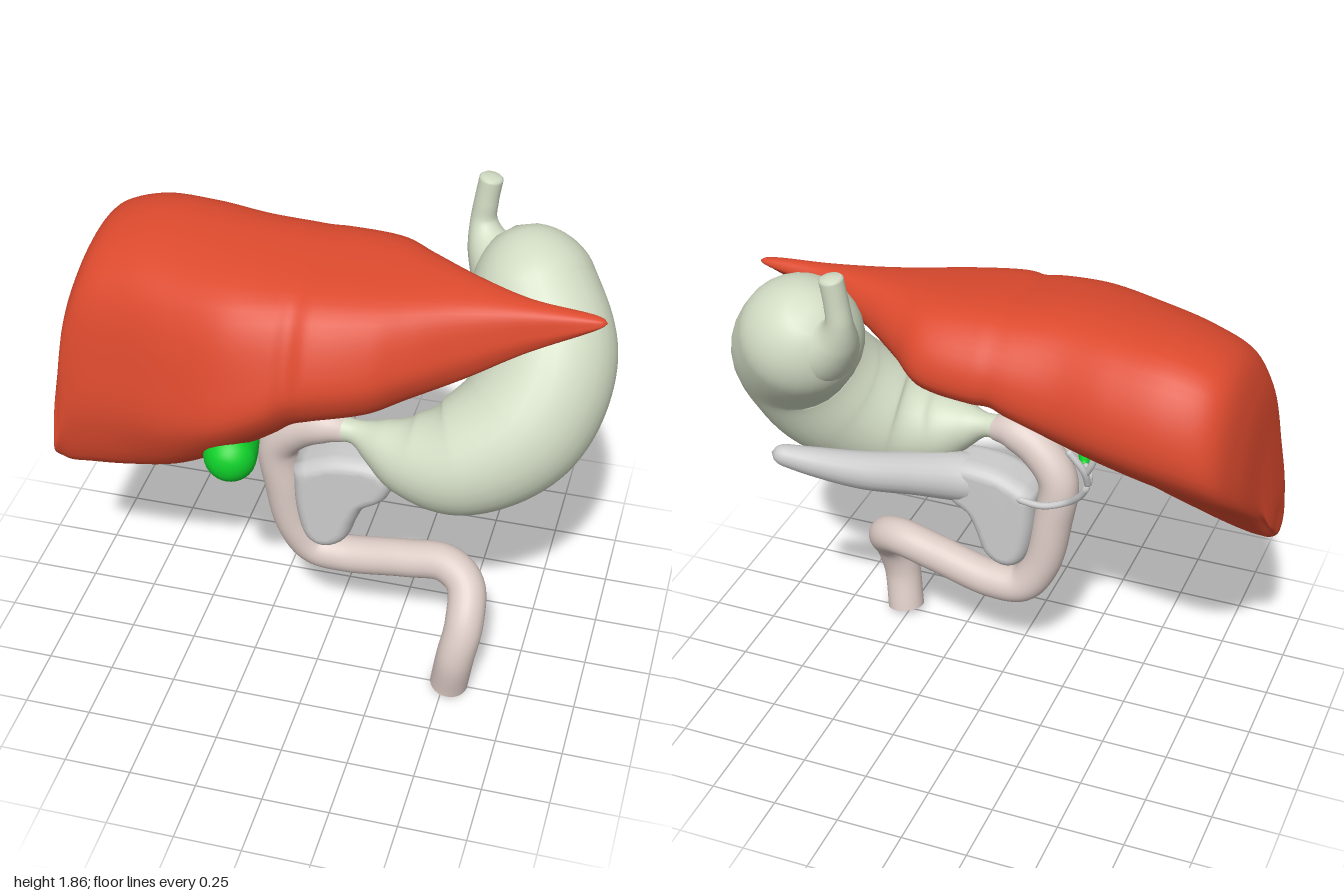
import * as THREE from 'three';
import { mergeVertices } from 'three/addons/utils/BufferGeometryUtils.js';

const paint = (color) => new THREE.MeshStandardMaterial({ color, side: THREE.DoubleSide });
const lerp = THREE.MathUtils.lerp;

function addMesh(parent, name, geometry, material) {
  const mesh = new THREE.Mesh(geometry, material);
  mesh.name = name;
  parent.add(mesh);
  return mesh;
}

function smooth(geometry) {
  geometry.deleteAttribute('uv');
  geometry.deleteAttribute('normal');
  const merged = mergeVertices(geometry, 1e-5);
  merged.computeVertexNormals();
  return merged;
}

// Tube of varying radius through [x, y, z, radius] points;
// startRound and endRound are the lengths of the domed ends (0 = cut flat).
function organTube(points, startRound = 0, endRound = 0, segments = 90, sides = 28) {
  const curve = new THREE.CatmullRomCurve3(points.map((p) => new THREE.Vector3(p[0], p[1], p[2])));
  const radii = new THREE.CatmullRomCurve3(
    points.map((p, i) => new THREE.Vector3(p[3], i, 0)), false, 'catmullrom');
  const length = curve.getLength();
  const dome = (s, e) => (s < e ? Math.sqrt(Math.max(0, 1 - (1 - s / e) ** 2)) : 1);
  const geometry = new THREE.TubeGeometry(curve, segments, 1, sides);
  const pos = geometry.attributes.position;
  const v = new THREE.Vector3();
  for (let i = 0; i <= segments; i++) {
    const u = i / segments;
    const centre = curve.getPointAt(u);
    const r = radii.getPoint(curve.getUtoTmapping(u)).x
      * dome(u * length, startRound) * dome((1 - u) * length, endRound);
    for (let j = 0; j <= sides; j++) {
      const k = i * (sides + 1) + j;
      v.fromBufferAttribute(pos, k).sub(centre).multiplyScalar(r).add(centre);
      pos.setXYZ(k, v.x, v.y, v.z);
    }
  }
  return smooth(geometry);
}

// Liver: wedge sections [x, top, bottom, front z, back z, z of lower edge, y of back edge]
function liverGeometry() {
  const stations = [
    [-1.0, 0.99, 0.79, 0.27, 0.08, 0.21, 0.9],
    [-0.975, 1.25, 0.77, 0.28, -0.04, 0.21, 1.05],
    [-0.94, 1.5, 0.77, 0.29, -0.24, 0.22, 1.19],
    [-0.87, 1.64, 0.785, 0.31, -0.37, 0.23, 1.28],
    [-0.72, 1.70, 0.82, 0.35, -0.41, 0.25, 1.33],
    [-0.5, 1.715, 0.89, 0.42, -0.4, 0.27, 1.36],
    [-0.3, 1.715, 1.0, 0.46, -0.36, 0.27, 1.38],
    [-0.13, 1.705, 1.12, 0.44, -0.35, 0.29, 1.42],
    [-0.07, 1.70, 1.17, 0.415, -0.345, 0.3, 1.44],
    [0.0, 1.70, 1.215, 0.42, -0.35, 0.33, 1.44],
    [0.2, 1.69, 1.25, 0.36, -0.33, 0.28, 1.46],
    [0.32, 1.68, 1.29, 0.29, -0.24, 0.22, 1.5],
    [0.5, 1.665, 1.36, 0.19, -0.11, 0.15, 1.54],
    [0.7, 1.645, 1.47, 0.12, -0.01, 0.1, 1.58],
    [0.95, 1.625, 1.595, 0.07, 0.035, 0.06, 1.61],
  ];
  const M = 48, N = 110;
  const rings = stations.map(([x, top, low, front, back, lowZ, backY]) => {
    const h = top - low;
    const at = (f, y) => new THREE.Vector3(x, y, lerp(back, front, f));
    const under = new THREE.Vector3(x, lerp(low, backY, 0.48), lerp(lowZ, back, 0.52));
    return new THREE.CatmullRomCurve3([
      new THREE.Vector3(x, low, lowZ),
      at(1, low + 0.26 * h),
      at(0.97, low + 0.53 * h),
      at(0.83, top - 0.13 * h),
      at(0.55, top - 0.01 * h),
      at(0.2, top - 0.02 * h),
      at(0.03, lerp(top, backY, 0.5)),
      at(0.02, backY),
      under,
    ], true).getPoints(M).slice(0, M);
  });
  // Close both ends on their centres
  const middle = (ring, dx) => {
    const c = ring.reduce((s, p) => s.add(p), new THREE.Vector3()).divideScalar(M);
    c.x += dx;
    return ring.map(() => c.clone());
  };
  rings.unshift(middle(rings[0], -0.002));
  rings.push(middle(rings[rings.length - 1], 0.02));

  const positions = [], index = [];
  const rails = rings[0].map((_, j) => new THREE.CatmullRomCurve3(rings.map((r) => r[j])));
  for (let i = 0; i <= N; i++) {
    for (let j = 0; j < M; j++) {
      positions.push(...rails[j].getPoint(i / N).toArray());
      if (i === N) continue;
      const a = i * M + j, b = i * M + (j + 1) % M;
      index.push(a, a + M, b, b, a + M, b + M);
    }
  }
  const geometry = new THREE.BufferGeometry();
  geometry.setAttribute('position', new THREE.Float32BufferAttribute(positions, 3));
  geometry.setIndex(index);
  return smooth(geometry);
}

export function createModel() {
  const model = new THREE.Group();
  model.name = 'upperDigestiveOrgans';
  const red = paint(0xdc4a2e), pale = paint(0xd2dcc4), pink = paint(0xdccbc5);
  const green = paint(0x0fd02a), grey = paint(0xcccccc);

  addMesh(model, 'liver', liverGeometry(), red);

  // Stomach, from the domed fundus to the narrow pylorus
  addMesh(model, 'stomach', organTube([
    [0.57, 1.69, -0.36, 0.2], [0.665, 1.52, -0.245, 0.225], [0.77, 1.34, -0.09, 0.232],
    [0.69, 1.13, 0.04, 0.245], [0.49, 1.005, 0.13, 0.215], [0.32, 0.995, 0.15, 0.155],
    [0.2, 1.025, 0.145, 0.09], [0.12, 1.045, 0.135, 0.047], [0.05, 1.05, 0.13, 0.05],
  ], 0.22, 0), pale);

  // Oesophagus, flaring sideways into the fundus
  addMesh(model, 'oesophagus', organTube([
    [0.47, 1.865, -0.39, 0.043], [0.455, 1.76, -0.385, 0.044], [0.45, 1.68, -0.38, 0.05],
    [0.475, 1.61, -0.355, 0.08], [0.535, 1.55, -0.315, 0.13], [0.62, 1.51, -0.26, 0.18],
  ], 0.015, 0.1, 70, 24), pale);

  // Duodenum, a C-shaped loop running on into the small bowel
  const bowel = [
    [0.08, 1.045, 0.13, 0.047], [0.0, 1.05, 0.125, 0.07], [-0.1, 1.005, 0.11, 0.075],
    [-0.185, 0.9, 0.09, 0.075], [-0.17, 0.72, 0.08, 0.075], [-0.13, 0.52, 0.07, 0.073],
    [-0.06, 0.415, 0.06, 0.072], [0.06, 0.4, 0.06, 0.072], [0.3, 0.445, 0.08, 0.072],
    [0.46, 0.47, 0.1, 0.072], [0.545, 0.43, 0.15, 0.072], [0.565, 0.32, 0.245, 0.072],
    [0.545, 0.19, 0.28, 0.072], [0.52, 0.02, 0.255, 0.072],
  ];
  addMesh(model, 'duodenum', organTube(bowel, 0, 0, 140), pink);
  const cap = addMesh(model, 'duodenumEnd', new THREE.CircleGeometry(0.072, 28), pink);
  cap.position.set(0.52, 0.02, 0.255);
  cap.quaternion.setFromUnitVectors(
    new THREE.Vector3(0, 0, 1), new THREE.Vector3(-0.14, -1, -0.18).normalize());

  // Pancreas: a flat head and a tapering tail reaching back and up
  const pancreas = new THREE.Group();
  pancreas.name = 'pancreas';
  model.add(pancreas);
  const outline = new THREE.Shape();
  outline.setFromPoints(new THREE.SplineCurve([
    [-0.07, 0.83], [-0.065, 0.7], [-0.04, 0.58], [0.0, 0.55], [0.05, 0.58],
    [0.08, 0.66], [0.12, 0.74], [0.2, 0.8], [0.2, 0.88], [0.05, 0.88], [-0.07, 0.83],
  ].map((p) => new THREE.Vector2(...p))).getPoints(50).slice(0, -1));
  const head = new THREE.ExtrudeGeometry(outline, {
    depth: 0.08, bevelThickness: 0.06, bevelSize: 0.045, bevelSegments: 6,
  });
  head.translate(0, 0, 0.05);
  addMesh(pancreas, 'pancreasHead', smooth(head), grey);
  addMesh(pancreas, 'pancreasTail', organTube([
    [0.08, 0.83, 0.1, 0.085], [0.2, 0.845, 0.06, 0.095], [0.34, 0.885, -0.04, 0.082],
    [0.49, 0.93, -0.15, 0.072], [0.65, 0.985, -0.24, 0.055], [0.79, 1.03, -0.3, 0.035],
  ], 0.06, 0.05, 60, 20), grey);

  // Gallbladder: round in front, drawn out to a neck under the liver
  addMesh(model, 'gallbladder', organTube([
    [-0.285, 1.03, 0.455, 0.094], [-0.285, 1.03, 0.36, 0.096], [-0.29, 1.04, 0.23, 0.075],
    [-0.3, 1.06, 0.09, 0.04], [-0.32, 1.06, -0.02, 0.012],
  ], 0.095, 0.01, 70), green);

  // Bile ducts: common duct with its cystic and hepatic branches
  const ducts = [
    [[-0.05, 0.84, 0.0], [-0.16, 0.84, -0.01], [-0.25, 0.87, 0.0], [-0.31, 0.93, -0.03], [-0.35, 1.0, -0.05]],
    [[-0.35, 1.0, -0.05], [-0.35, 1.05, -0.04], [-0.32, 1.06, -0.01]],
    [[-0.35, 1.0, -0.05], [-0.34, 1.08, -0.08], [-0.28, 1.16, -0.09]],
    [[-0.345, 1.06, -0.07], [-0.37, 1.11, -0.08], [-0.38, 1.15, -0.08]],
  ];
  ducts.forEach((path, i) => addMesh(model, `bileDuct${i + 1}`,
    organTube(path.map((p) => [...p, 0.013]), 0.01, 0.01, 24, 10), grey));

  return model;
}
